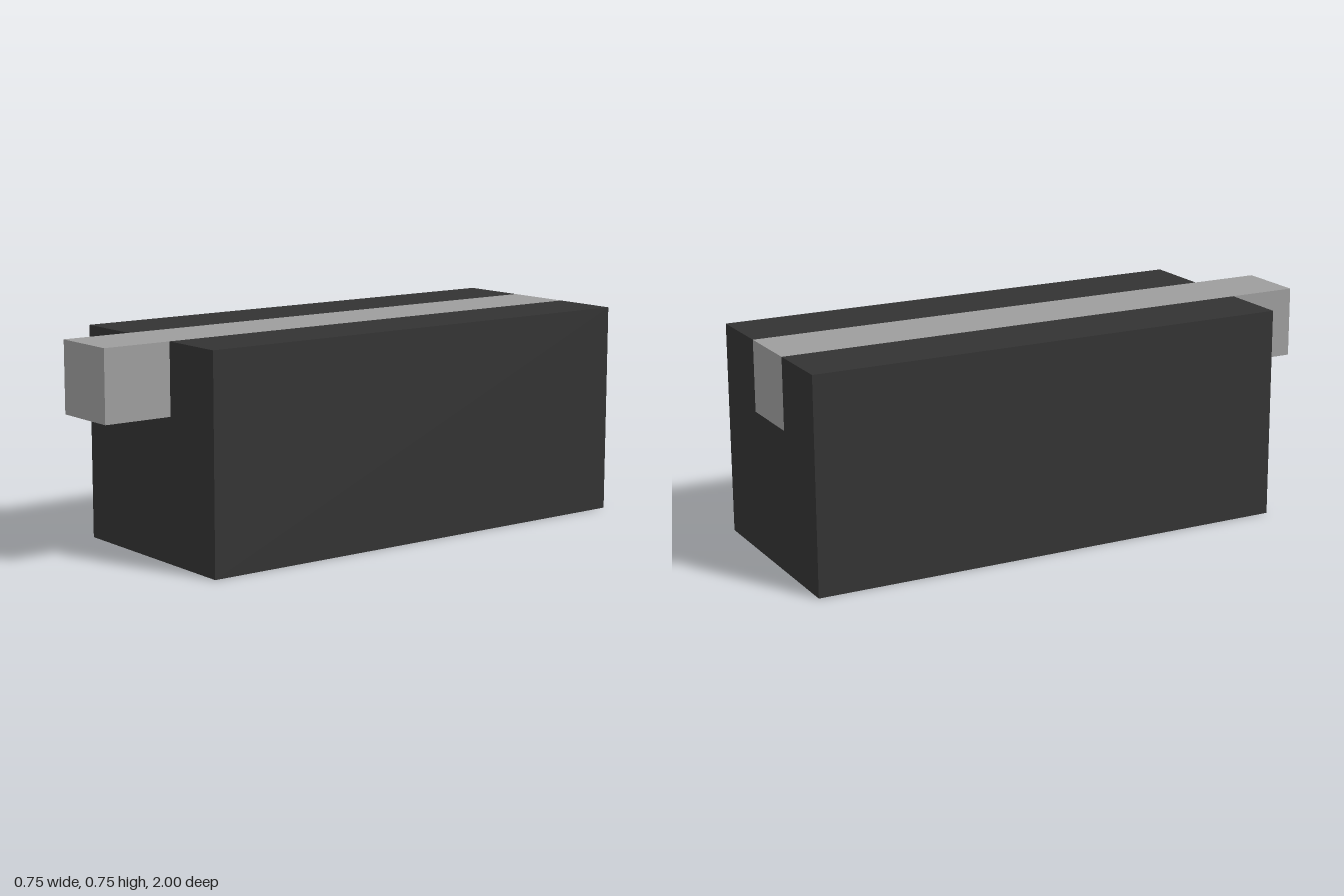
import * as THREE from 'three';

export function createModel() {
  const model = new THREE.Group();
  const darkGrey = new THREE.MeshStandardMaterial({ color: 0x333333 });
  const lightGrey = new THREE.MeshStandardMaterial({ color: 0x9d9d9d });
  darkGrey.name = 'darkGrey';
  lightGrey.name = 'lightGrey';

  // Block with a square groove along its top
  const section = new THREE.Shape([
    [-0.375, 0], [0.375, 0], [0.375, 0.75], [0.125, 0.75],
    [0.125, 0.5], [-0.125, 0.5], [-0.125, 0.75], [-0.375, 0.75],
  ].map(([x, y]) => new THREE.Vector2(x, y)));
  const body = new THREE.Mesh(
    new THREE.ExtrudeGeometry(section, { depth: 1.75, bevelEnabled: false }), darkGrey);
  body.name = 'body';
  body.position.z = -1;

  // Square bar filling the groove and projecting at the front
  const bar = new THREE.Mesh(new THREE.BoxGeometry(0.25, 0.25, 2), lightGrey);
  bar.name = 'bar';
  bar.position.y = 0.625;

  model.add(body, bar);
  return model;
}
